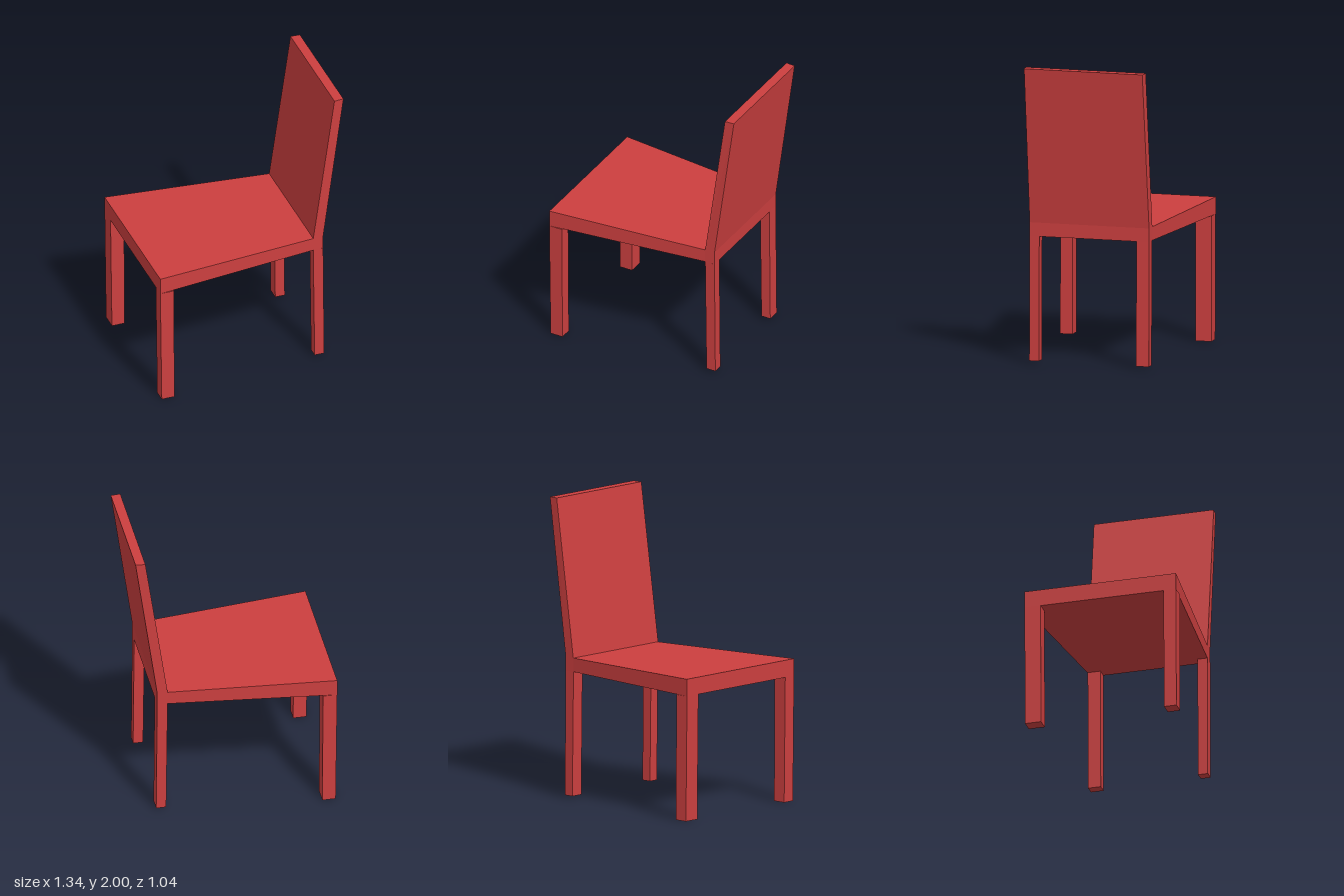
import * as THREE from 'three';

const red = new THREE.MeshStandardMaterial({ color: 0xcc3f3f, flatShading: true });

// Block whose four vertical edges are given as [x, zBack, zFront, yBottom, yTop] pairs:
// each end is { x0, x1, y0, y1, z0: [back, front] at x0, z1: [back, front] at x1 }
function block(name, bottom, top) {
  const geo = new THREE.BoxGeometry(1, 1, 1);
  const p = geo.attributes.position;
  for (let i = 0; i < p.count; i++) {
    const e = p.getY(i) < 0 ? bottom : top;
    const right = p.getX(i) > 0;
    const z = right ? e.z1 : e.z0;
    p.setXYZ(i, right ? e.x1 : e.x0, right ? e.y1 : e.y0, p.getZ(i) < 0 ? z[0] : z[1]);
  }
  geo.computeVertexNormals();
  const mesh = new THREE.Mesh(geo, red);
  mesh.name = name;
  return mesh;
}

const end = (x0, x1, y0, y1, z0, z1 = z0) => ({ x0, x1, y0, y1, z0, z1 });

export function createModel() {
  const chair = new THREE.Group();
  chair.name = 'chair';

  // Seat slab, wider at its open end (-x)
  const wide = [-0.522, 0.52], narrow = [-0.414, 0.411];
  chair.add(block('seat',
    end(-0.67, 0.45, 0.84, 0.853, wide, narrow),
    end(-0.67, 0.45, 0.955, 0.945, wide, narrow)));

  // Rail joining the seat to the backrest, then the leaning backrest
  const outer = [-0.412, 0.409];
  const joint = end(0.45, 0.52, 0.945, 0.945, narrow, outer);
  chair.add(block('rearRail', end(0.45, 0.52, 0.853, 0.853, narrow, outer), joint));
  chair.add(block('backrest', joint, end(0.6, 0.665, 2, 2, [-0.413, 0.41], [-0.408, 0.405])));

  // Front legs
  for (const [name, z] of [['frontLegLeft', [-0.52, -0.41]], ['frontLegRight', [0.435, 0.52]]]) {
    chair.add(block(name,
      end(-0.66, -0.57, 0, 0, z),
      end(-0.67, -0.575, 0.84, 0.841, z)));
  }

  // Rear legs
  for (const [name, z] of [['rearLegLeft', [-0.412, -0.325]], ['rearLegRight', [0.343, 0.41]]]) {
    chair.add(block(name,
      end(0.46, 0.527, 0.017, 0.017, z),
      end(0.45, 0.52, 0.853, 0.853, z)));
  }
  return chair;
}
